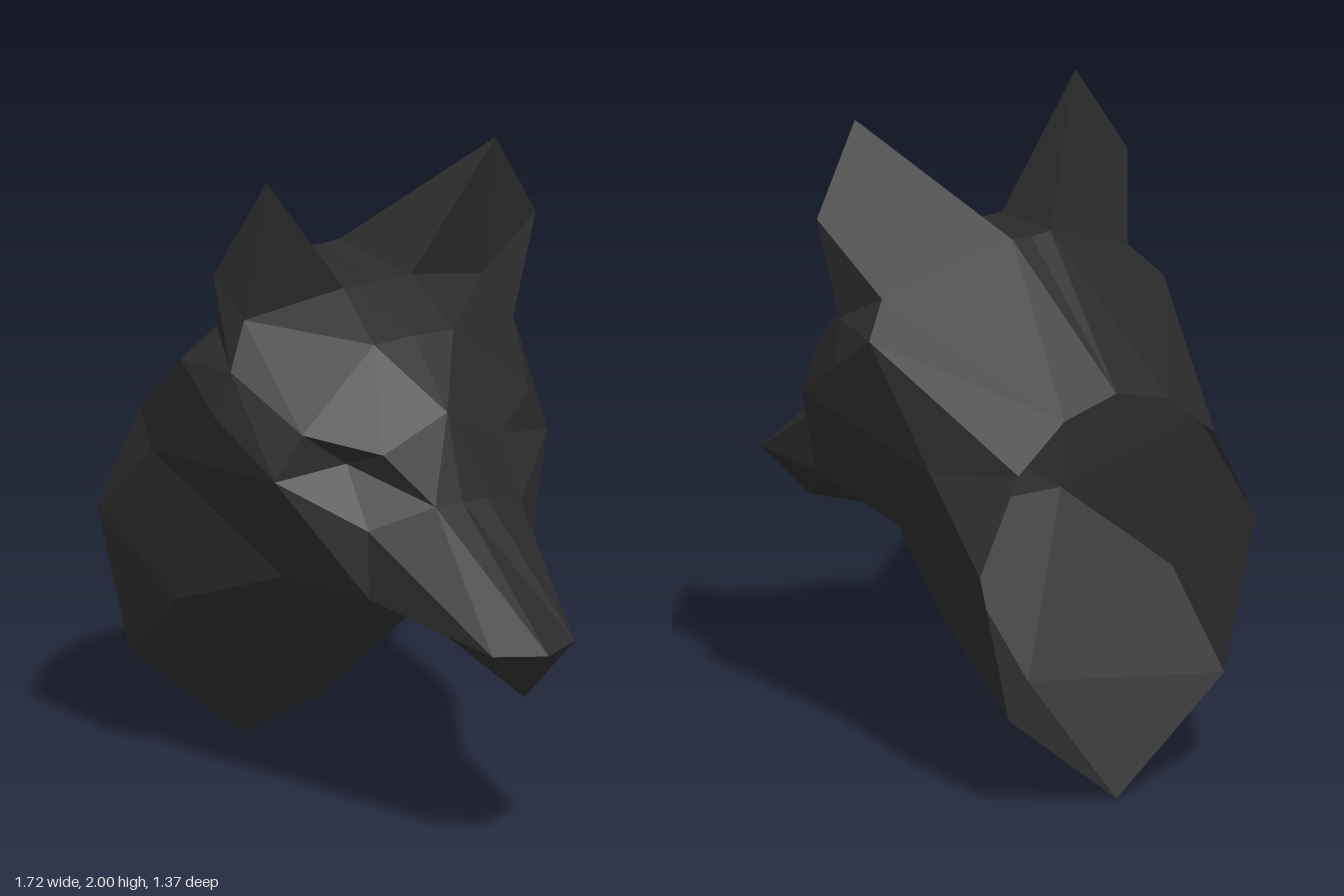
import * as THREE from 'three';

// Corner points of the left half: x = distance from the middle plane, y up, z = forward
const P = {
  // rim of the open neck
  b0: [0, 0, -.65], b1: [.395, .32, -.65], b2: [.505, .79, -.655],
  b3: [.36, 1.08, -.65], b4: [.19, 1.22, -.65], b5: [0, 1.27, -.65],
  // neck, throat, jaw and cheek
  chest: [0, .245, -.2], throat: [0, .64, .3], side: [.42, .57, -.35], nape: [.49, 1.04, -.38],
  temple: [.54, 1.4, -.14], jaw: [.3, .73, .05], lip: [.28, .775, .49],
  cheek: [.482, 1.12, .285], cheekTop: [.54, 1.27, .04],
  // crown and forehead
  crownMid: [0, 1.645, -.215], crown: [.07, 1.65, -.215], topMid: [0, 1.615, .1], top: [.12, 1.615, .1],
  browMid: [0, 1.5, .3], brow: [.14, 1.495, .3],
  // ear
  tip: [.405, 2, .12], flap: [.57, 1.73, .085], earBack: [.45, 1.5, -.08],
  earFront: [.42, 1.545, .02], lobe: [.5, 1.41, .07],
  // eye and muzzle
  eyeOut: [.4, 1.26, .31], eyeIn: [.21, 1.205, .46], eyeMid: [0, 1.31, .485], socket: [.27, 1.16, .35],
  bridgeMid: [0, 1.05, .57], bridge: [.09, 1.05, .56], muzzle: [.27, .98, .47],
  nose: [0, .7, 1.045], nostril: [.145, .7, .96], chin: [0, .535, .91],
};

// Facets of the left half, counter-clockwise from outside
const PARTS = {
  neck: [
    'b0 b1 side chest', 'chest side jaw', 'chest jaw throat', 'b1 b2 side', 'b2 nape side', 'b2 b3 nape',
    'b3 temple nape', 'side nape jaw', 'b3 b4 temple', 'b4 earBack temple', 'b4 crown earBack',
    'b4 b5 crown', 'b5 crownMid crown',
  ],
  head: [
    'nape cheek jaw', 'nape temple cheek', 'jaw cheek lip', 'jaw lip throat',
    'crownMid topMid top crown', 'crown top earFront earBack', 'earBack earFront lobe',
    'earBack lobe temple', 'temple lobe cheekTop', 'temple cheekTop cheek', 'cheekTop lobe cheek',
    'lobe eyeOut cheek', 'lobe earFront eyeOut',
    'earFront brow eyeOut', 'earFront top brow', 'brow eyeIn eyeOut',
    'topMid browMid brow top', 'browMid eyeMid brow', 'brow eyeMid eyeIn',
    'eyeMid bridge eyeIn', 'eyeMid bridgeMid bridge',
  ],
  eyeSocket: ['eyeOut eyeIn socket', 'eyeIn bridge socket', 'eyeOut socket cheek'],
  muzzle: [
    'socket muzzle cheek', 'socket bridge muzzle', 'cheek muzzle lip', 'bridgeMid nose nostril bridge',
    'muzzle bridge nostril', 'muzzle nostril lip', 'lip nostril chin throat', 'nostril nose chin',
  ],
  ear: [
    'crown tip earBack', 'earBack tip flap', 'earBack flap lobe',
    'tip top earFront', 'tip earFront flap', 'flap earFront lobe', 'tip crown top',
  ],
};

// Fan-triangulates the facets of one part; sign -1 builds the mirrored half
function facets(list, sign) {
  const pos = [];
  for (const face of list) {
    const c = face.split(' ').map(n => P[n]);
    if (sign < 0) c.reverse();
    for (let i = 1; i < c.length - 1; i++)
      for (const [x, y, z] of [c[0], c[i], c[i + 1]]) pos.push(x * sign, y, z);
  }
  const g = new THREE.BufferGeometry();
  g.setAttribute('position', new THREE.Float32BufferAttribute(pos, 3));
  g.computeVertexNormals();
  return g;
}

export function createModel() {
  const model = new THREE.Group();
  model.name = 'animalHeadBust';
  const material = new THREE.MeshStandardMaterial({
    color: 0x2b2b2b, flatShading: true, side: THREE.DoubleSide,
  });

  // Symmetrical hollow bust, built facing +z and open at the back of the neck
  const bust = new THREE.Group();
  bust.name = 'bust';
  for (const [name, list] of Object.entries(PARTS))
    for (const [label, sign] of [['Left', 1], ['Right', -1]]) {
      const mesh = new THREE.Mesh(facets(list, sign), material);
      mesh.name = name + label;
      bust.add(mesh);
    }

  // The head looks off to its left
  bust.rotation.y = Math.PI / 3;
  bust.position.set(-.0475, 0, .082);
  model.add(bust);
  return model;
}
